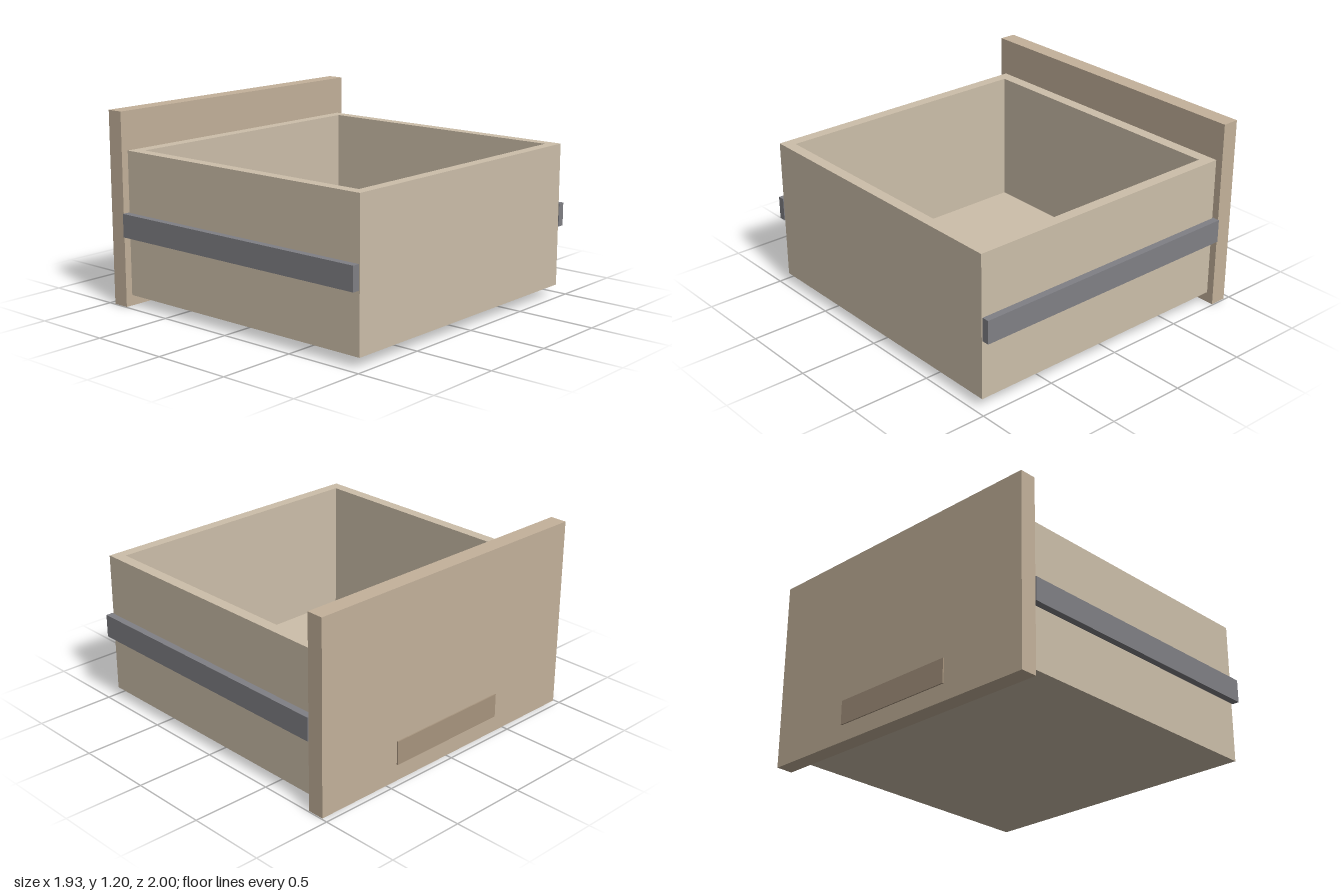
import * as THREE from 'three';

const material = (color) => new THREE.MeshStandardMaterial({ color });

// Box given by its lower and upper corners
function block(name, [x0, y0, z0], [x1, y1, z1], mat) {
  const mesh = new THREE.Mesh(new THREE.BoxGeometry(x1 - x0, y1 - y0, z1 - z0), mat);
  mesh.name = name;
  mesh.position.set((x0 + x1) / 2, (y0 + y1) / 2, (z0 + z1) / 2);
  return mesh;
}

// Rectangle outline in the floor plane
function rectangle(path, x0, x1, halfZ) {
  path.moveTo(x0, -halfZ);
  path.lineTo(x1, -halfZ);
  path.lineTo(x1, halfZ);
  path.lineTo(x0, halfZ);
  path.closePath();
  return path;
}

export function createModel() {
  const group = new THREE.Group();
  group.name = 'drawer';
  const boxWood = material(0xcdbfaa);
  const panelWood = material(0xc4b29b);
  const gripWood = material(0xa8957f);
  const metal = material(0x808085);

  const back = 0.963, front = -0.853, bottom = 0.066, top = 0.96;

  // Four walls as one extruded frame
  const outline = rectangle(new THREE.Shape(), front, back, 0.947);
  outline.holes.push(rectangle(new THREE.Path(), -0.778, 0.895, 0.877));
  const frame = new THREE.ExtrudeGeometry(outline, { depth: top - bottom, bevelEnabled: false });
  frame.rotateX(-Math.PI / 2);
  const walls = new THREE.Mesh(frame, boxWood);
  walls.name = 'walls';
  walls.position.y = bottom;
  group.add(walls);

  // Floor inside the frame
  group.add(block('floor', [-0.778, bottom, -0.877], [0.895, 0.115, 0.877], boxWood));

  // Tall face panel with its shallow grip
  group.add(block('facePanel', [-0.959, 0, -0.993], [front, 1.2, 0.993], panelWood));
  group.add(block('grip', [-0.967, 0.105, -0.417], [-0.959, 0.255, 0.417], gripWood));

  // Runners along both sides
  for (const side of [-1, 1]) {
    const runner = block(side > 0 ? 'frontRunner' : 'backRunner',
      [front, 0.437, -0.0225], [back, 0.582, 0.0225], metal);
    runner.position.z = side * 0.9775;
    group.add(runner);
  }
  return group;
}
